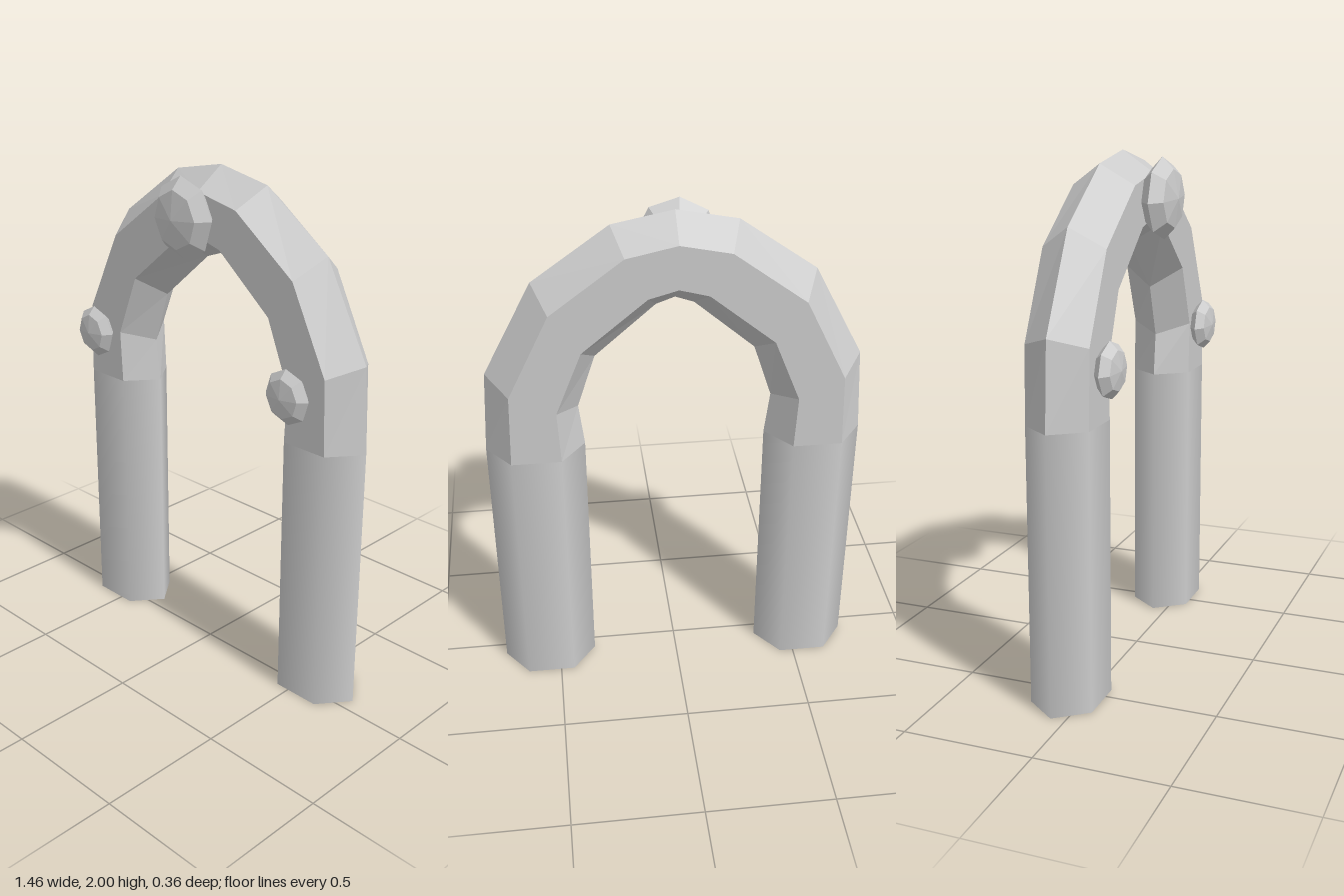
import * as THREE from 'three';

const MID_Z = -0.057;   // depth of the arch's centre line
const HALF_Z = 0.1225;  // half thickness of the hexagonal section

// Hexagonal sections of one half of the arch: [outer x, outer y, inner x, inner y]
const HALF_ARCH = [
  [0.73, 1.06, 0.35, 1.06],
  [0.71, 1.39, 0.37, 1.23],
  [0.52, 1.75, 0.30, 1.44],
  [0.23, 1.955, 0.07, 1.64],
];

function archGeometry() {
  const mirrored = HALF_ARCH.map(([ox, oy, ix, iy]) => [-ox, oy, -ix, iy]).reverse();
  const stations = [...HALF_ARCH, [0, 2.0, 0, 1.665], ...mirrored];
  // Corners round the hexagon: [fraction from outer to inner ridge, z side]
  const corners = [[0, 0], [0.25, 1], [0.75, 1], [1, 0], [0.75, -1], [0.25, -1]];
  const positions = [], index = [];
  stations.forEach(([ox, oy, ix, iy], s) => {
    corners.forEach(([t, side], j) => {
      positions.push(ox + (ix - ox) * t, oy + (iy - oy) * t, MID_Z + side * HALF_Z);
      if (s === stations.length - 1) return;
      const a = s * 6 + j, d = s * 6 + (j + 1) % 6;
      index.push(a, a + 6, d, a + 6, d + 6, d);
    });
  });
  const indexed = new THREE.BufferGeometry();
  indexed.setAttribute('position', new THREE.Float32BufferAttribute(positions, 3));
  indexed.setIndex(index);
  const geometry = indexed.toNonIndexed();
  geometry.computeVertexNormals();
  return geometry;
}

export function createModel() {
  const group = new THREE.Group();
  const smooth = new THREE.MeshStandardMaterial({ color: 0xcccccc });
  const faceted = new THREE.MeshStandardMaterial({ color: 0xcccccc, flatShading: true });

  const add = (name, geometry, material, x = 0, y = 0, z = 0) => {
    const mesh = new THREE.Mesh(geometry, material);
    mesh.name = name;
    mesh.position.set(x, y, z);
    group.add(mesh);
    return mesh;
  };

  // Flattened six-sided legs with soft shading
  const leg = new THREE.CylinderGeometry(0.19, 0.19, 1.06, 6);
  leg.rotateY(Math.PI / 2);
  leg.scale(1, 1, HALF_Z / (0.19 * Math.sqrt(0.75)));
  add('leftLeg', leg, smooth, 0.54, 0.53, MID_Z);
  add('rightLeg', leg, smooth, -0.54, 0.53, MID_Z);

  // Faceted arch joining the legs
  add('arch', archGeometry(), faceted);

  // Squashed eight-sided studs on the front
  const stud = new THREE.SphereGeometry(1, 8, 4);
  stud.rotateX(Math.PI / 2);
  stud.rotateZ(0.08);
  const addStud = (name, x, y, z, radius, depth) => {
    const mesh = add(name, stud, faceted, x, y, z);
    mesh.scale.set(radius, radius, depth);
    mesh.rotation.y = -0.04;
  };
  addStud('topStud', -0.025, 1.822, 0.116, 0.155, 0.062);
  addStud('leftStud', 0.495, 1.265, 0.113, 0.105, 0.042);
  addStud('rightStud', -0.55, 1.265, 0.113, 0.105, 0.042);

  return group;
}
